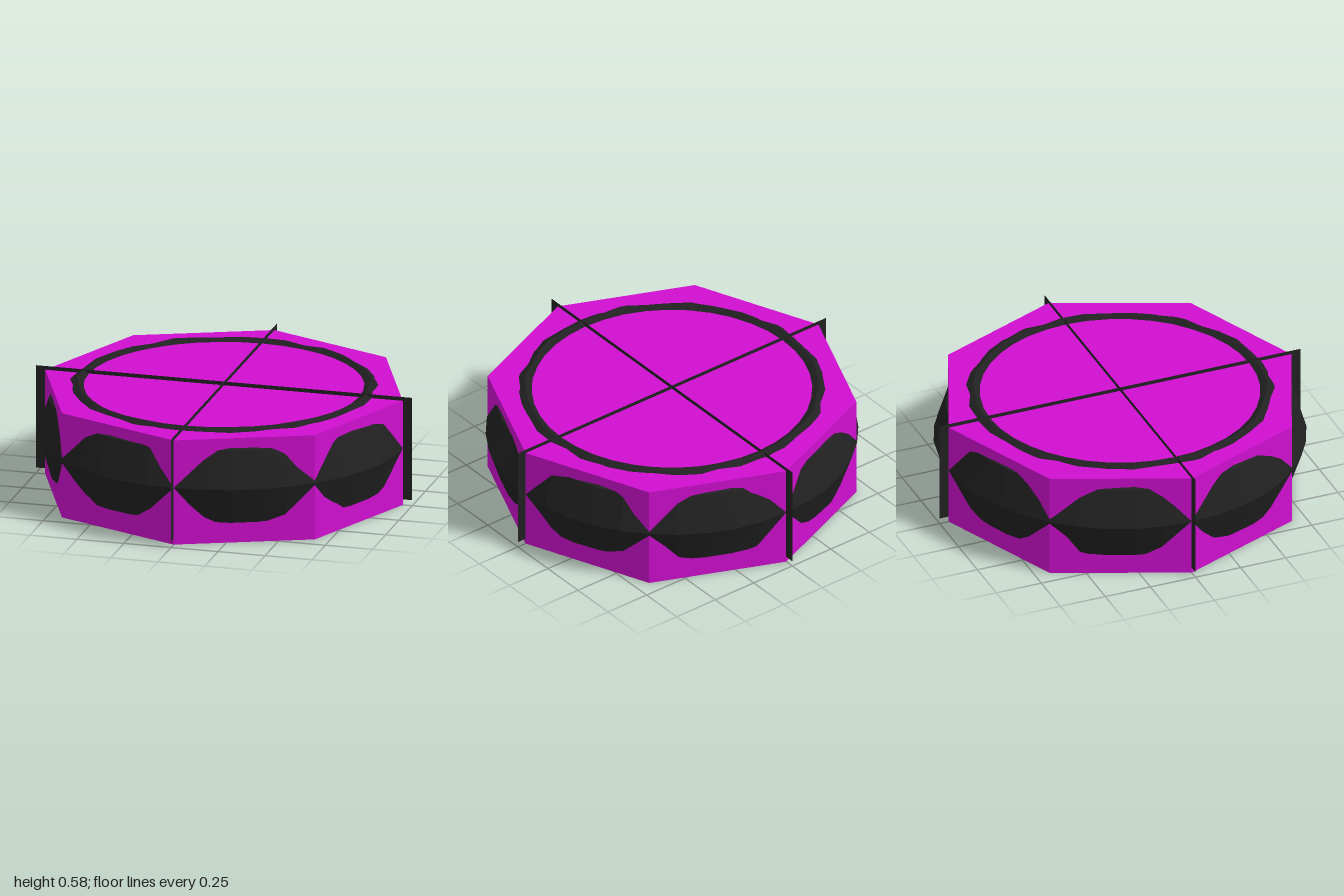
import * as THREE from 'three';

export function createModel() {
  const model = new THREE.Group();
  const magenta = new THREE.MeshStandardMaterial({ name: 'magenta', color: 0xd00fd0, flatShading: true });
  const charcoal = new THREE.MeshStandardMaterial({ name: 'charcoal', color: 0x212121, flatShading: true, side: THREE.DoubleSide });

  const add = (name, geometry, material, y) => {
    const mesh = new THREE.Mesh(geometry, material);
    mesh.name = name;
    mesh.position.y = y;
    model.add(mesh);
    return mesh;
  };

  // Solid octagonal body with corners on the x and z axes
  add('body', new THREE.CylinderGeometry(0.95, 0.95, 0.56, 8), magenta, 0.28);

  // Rough eight-sided ring that breaks through the body's sides and top
  const ringRadius = 0.75, halfWidth = 0.2, halfHeight = 0.273;
  const ring = new THREE.TorusGeometry(ringRadius, 1, 8, 40);
  ring.rotateX(-Math.PI / 2);
  const sides = 8, steps = 40;
  const pos = ring.attributes.position;
  for (let j = 0; j <= sides; j++) {
    for (let i = 0; i <= steps; i++) {
      const a = (i % steps) / steps * Math.PI * 2;
      const t = (j % sides) / sides * Math.PI * 2;
      // Small uneven dents along the ring
      const dent = 0.005 * Math.sin(11 * a + 2 * t) + 0.004 * Math.sin(17 * a + 5 * t + 1);
      const outer = j % sides === 0 ? 0.004 - 0.004 * Math.cos(8 * a) * Math.cos(2 * a) ** 2 : dent;
      const r = ringRadius + halfWidth * Math.cos(t) + outer;
      const y = halfHeight * Math.sin(t) + (j % 4 ? dent * 0.5 : 0);
      pos.setXYZ(j * (steps + 1) + i, r * Math.cos(a), y, -r * Math.sin(a));
    }
  }
  ring.computeVertexNormals();
  add('ring', ring, charcoal, 0.305);

  // Two crossed upright sheets, one along each axis
  for (const [name, turn] of [['crossSheetX', 0], ['crossSheetZ', Math.PI / 2]]) {
    add(name, new THREE.PlaneGeometry(2, 0.55), charcoal, 0.305).rotation.y = turn;
  }

  return model;
}
